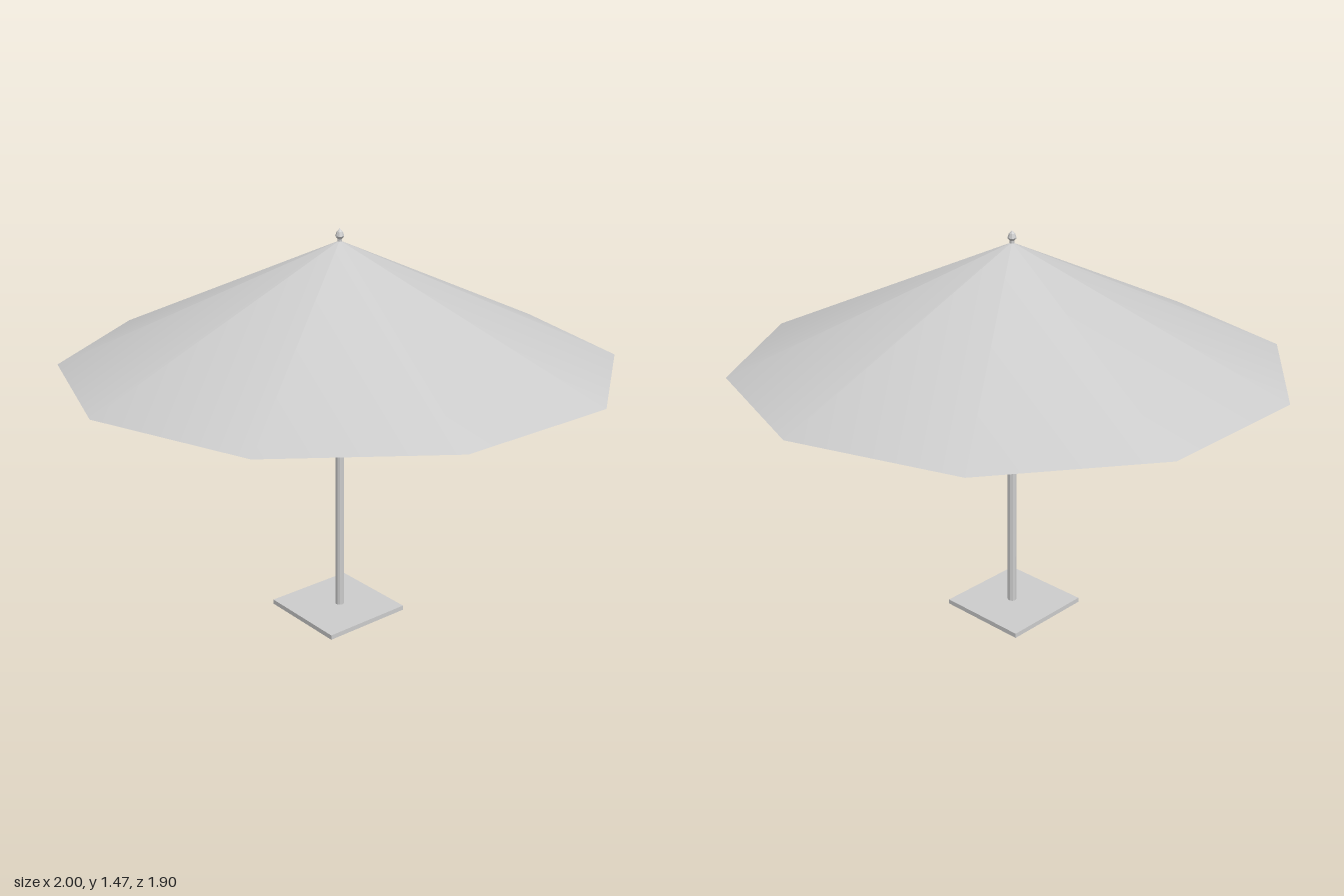
import * as THREE from 'three';

const smooth = new THREE.MeshStandardMaterial({ color: 0xcccccc, side: THREE.DoubleSide });
const flat = new THREE.MeshStandardMaterial({ color: 0xcccccc, flatShading: true, side: THREE.DoubleSide });

export function createModel() {
  const root = new THREE.Group();

  const add = (name, geometry, material = flat, parent = root) => {
    const mesh = new THREE.Mesh(geometry, material);
    mesh.name = name;
    parent.add(mesh);
    return mesh;
  };

  // Turned part from [radius, height] points
  const turned = (points, sides) =>
    new THREE.LatheGeometry(points.map(([r, y]) => new THREE.Vector2(r, y)), sides);

  // Bar whose length runs from a to b
  const bar = (name, geometry, a, b, parent) => {
    const mesh = add(name, geometry, flat, parent);
    mesh.position.copy(a).lerp(b, 0.5);
    mesh.quaternion.setFromUnitVectors(new THREE.Vector3(0, 1, 0), b.clone().sub(a).normalize());
    return mesh;
  };

  // Square foot plate
  add('basePlate', new THREE.BoxGeometry(0.356, 0.018, 0.356)).position.set(-0.005, 0.009, -0.005);

  // Pole up to the canopy tip
  add('pole', new THREE.CylinderGeometry(0.017, 0.017, 1.41, 10)).position.y = 0.715;

  // Ten-sided canopy, open underneath
  add('canopy', new THREE.ConeGeometry(1, 0.43, 10, 1, true, Math.PI / 2), smooth).position.y = 1.215;

  // Small pointed knob on the tip
  add('finial', turned([[0.008, 1.415], [0.008, 1.435], [0.016, 1.445], [0.011, 1.46], [0, 1.472]], 8));

  // Sliding collar on the pole
  add('collar', turned([[0.016, 0.825], [0.036, 0.825], [0.044, 0.872], [0.055, 0.875],
    [0.05, 0.882], [0.016, 0.882]], 8));

  // Flared hub ring with an open middle
  add('hubRing', turned([[0.09, 0.97], [0.103, 0.97], [0.128, 0.99], [0.13, 1.0],
    [0.1, 1.0], [0.09, 0.97]], 8));

  // Four braces from the collar out to the ring
  const braces = new THREE.Group();
  braces.name = 'braces';
  root.add(braces);
  const braceGeometry = new THREE.BoxGeometry(0.018, 0.15, 0.032);
  for (let i = 0; i < 4; i++) {
    const arm = new THREE.Group();
    arm.name = 'braceArm';
    arm.rotation.y = i * Math.PI / 2;
    braces.add(arm);
    bar('brace', braceGeometry, new THREE.Vector3(0.036, 0.855, 0), new THREE.Vector3(0.095, 0.985, 0), arm);
  }

  // Eight pairs of thin ribs, set on a 23-step circle with every third step empty
  const ribs = new THREE.Group();
  ribs.name = 'ribs';
  root.add(ribs);
  const ribGeometry = new THREE.CylinderGeometry(0.008, 0.008, 0.54, 6);
  for (let step = 0; step < 23; step++) {
    if (step % 3 === 2) continue;
    const angle = -Math.PI / 2 - step * Math.PI * 2 / 23;
    const at = (r, y) => new THREE.Vector3(Math.cos(angle) * r, y, Math.sin(angle) * r);
    bar('rib', ribGeometry, at(0.105, 1.01), at(0.645, 1.035), ribs);
  }

  return root;
}
